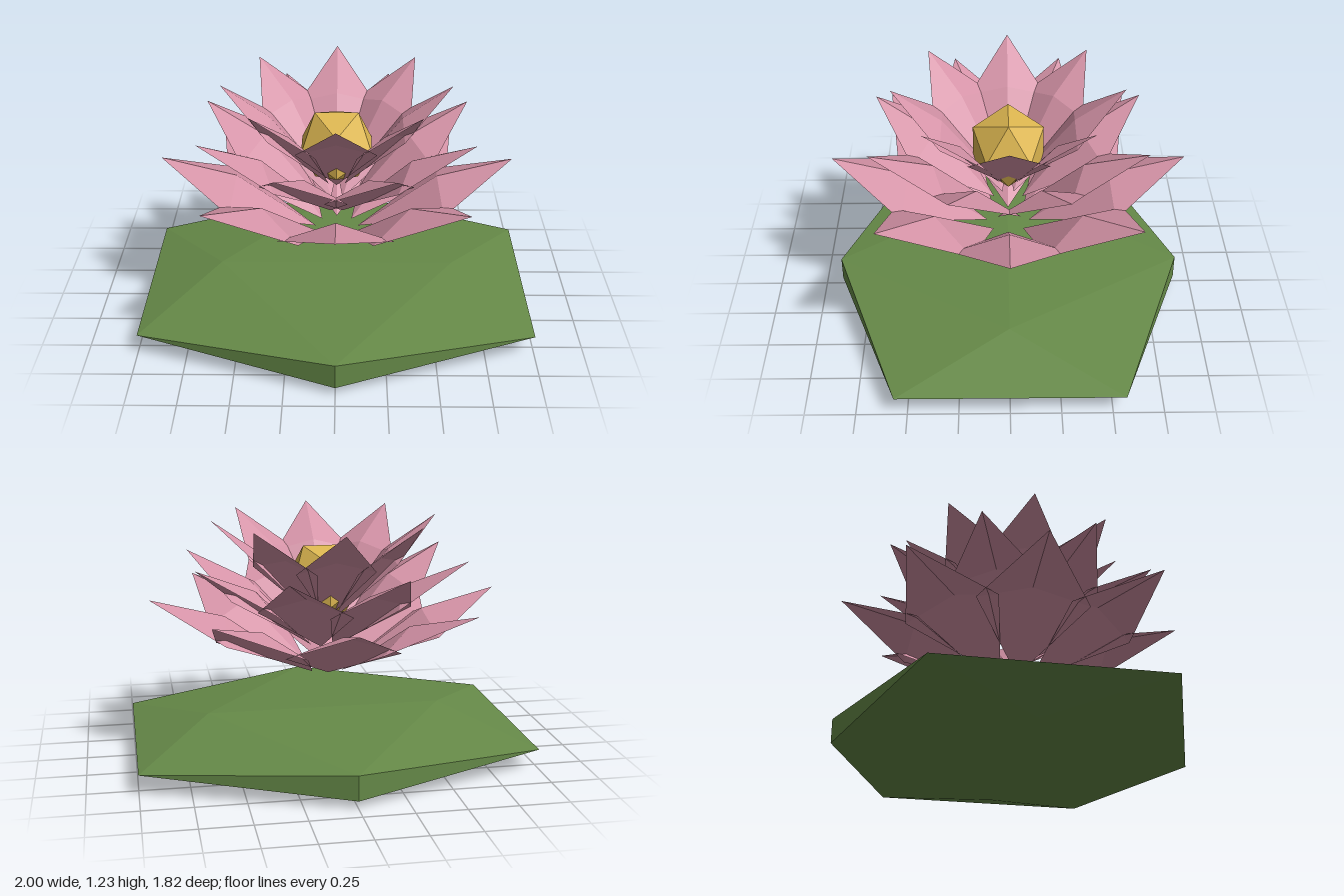
import * as THREE from 'three';

function flatMaterial(name, color, extra = {}) {
  const m = new THREE.MeshStandardMaterial({ color, flatShading: true, ...extra });
  m.name = name;
  return m;
}

// Folded diamond petal: base, two side corners, raised middle and tip.
// Points are [radius, height]; the petal points along +z.
function petalGeometry({ base, corner, ridge, tip, halfWidth }) {
  const at = (x, [r, y]) => [x, y, r];
  const b = at(0, base), t = at(0, tip), m = at(0, ridge);
  const left = at(halfWidth, corner), right = at(-halfWidth, corner);
  const faces = [[b, m, left], [left, m, t], [t, m, right], [right, m, b]];
  // corners ordered so the fronts look up
  const positions = faces.flatMap(([p, q, s]) => [...p, ...s, ...q]);
  const g = new THREE.BufferGeometry();
  g.setAttribute('position', new THREE.Float32BufferAttribute(positions, 3));
  g.computeVertexNormals();
  return g;
}

export function createModel() {
  const model = new THREE.Group();
  model.name = 'waterLily';

  const green = flatMaterial('leafGreen', 0x668a48);
  const pink = flatMaterial('petalPink', 0xd593a7, { side: THREE.DoubleSide });
  const gold = flatMaterial('heartGold', 0xdcb650);

  // Floating leaf: a flattened icosahedron
  const pad = new THREE.Mesh(new THREE.IcosahedronGeometry(1, 0), green);
  pad.name = 'lilyPad';
  pad.scale.set(1.1756, 0.1205, 1.069);
  pad.position.y = 0.1025;
  model.add(pad);

  // Three rings of eight petals, steeper towards the centre
  const rings = [
    { name: 'outer', turn: 0, base: [0.11, 0.43], corner: [0.54, 0.635], ridge: [0.52, 0.725], tip: [0.905, 0.825], halfWidth: 0.285 },
    { name: 'middle', turn: Math.PI / 8, base: [0.08, 0.56], corner: [0.43, 0.81], ridge: [0.41, 0.885], tip: [0.745, 1.025], halfWidth: 0.24 },
    { name: 'inner', turn: 0, base: [0.06, 0.7], corner: [0.34, 1.0], ridge: [0.335, 1.05], tip: [0.585, 1.225], halfWidth: 0.2 },
  ];
  for (const ring of rings) {
    const group = new THREE.Group();
    group.name = `${ring.name}Petals`;
    const geometry = petalGeometry(ring);
    for (let i = 0; i < 8; i++) {
      const petal = new THREE.Mesh(geometry, pink);
      petal.name = `${ring.name}Petal${i + 1}`;
      petal.rotation.y = ring.turn + (i * Math.PI) / 4;
      group.add(petal);
    }
    model.add(group);
  }

  // Golden heart
  const heart = new THREE.Mesh(new THREE.IcosahedronGeometry(0.211, 0), gold);
  heart.name = 'flowerHeart';
  heart.position.y = 0.9;
  model.add(heart);

  return model;
}
